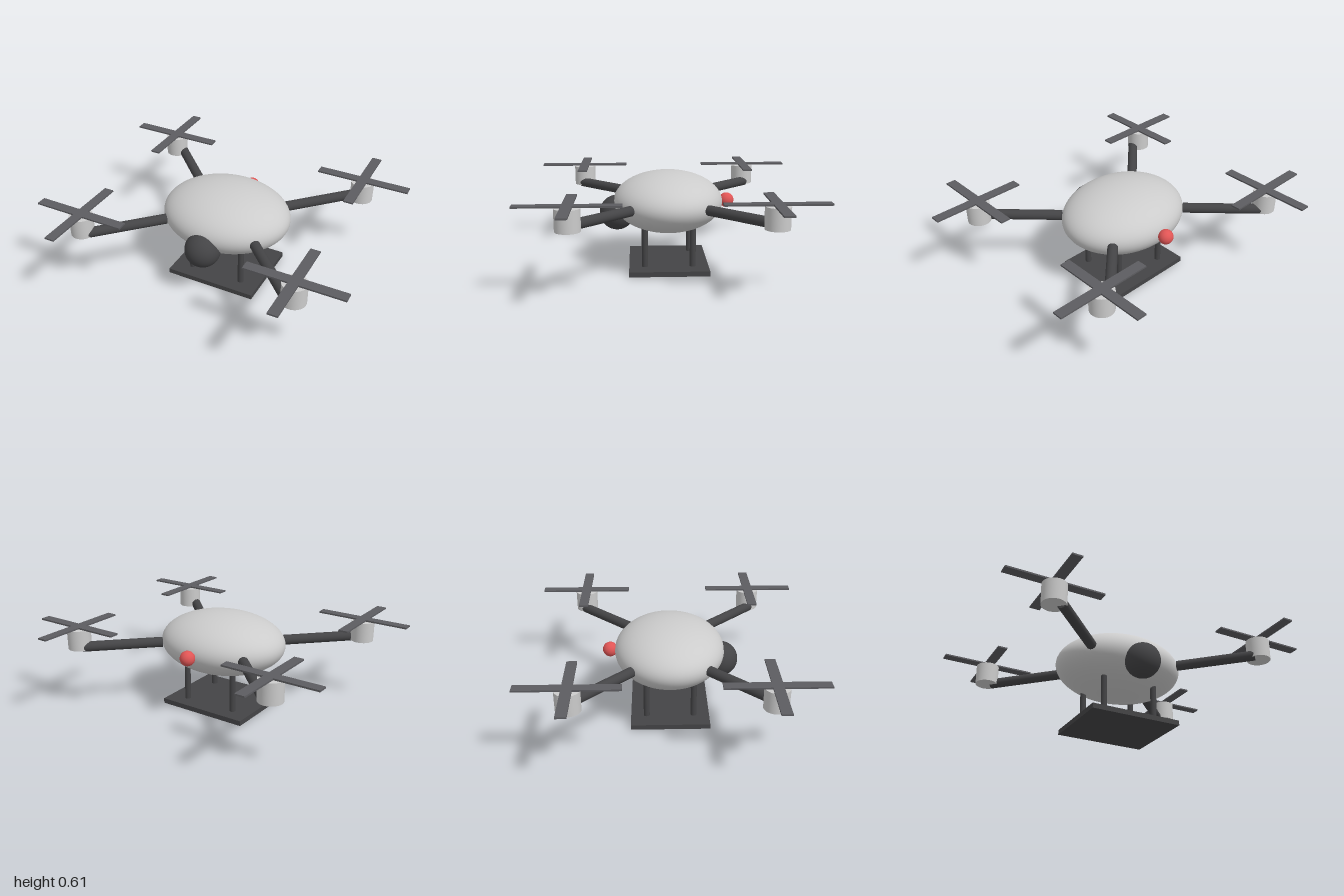
import * as THREE from 'three';

const material = (color) => new THREE.MeshStandardMaterial({ color });

export function createModel() {
  const model = new THREE.Group();
  model.name = 'quadcopter';

  const grey = material(0xcccccc);
  const dark = material(0x444446);
  const bladeGrey = material(0x5c5c60);
  const red = material(0xe05555);

  const add = (parent, name, geometry, mat, x, y, z) => {
    const mesh = new THREE.Mesh(geometry, mat);
    mesh.name = name;
    mesh.position.set(x, y, z);
    parent.add(mesh);
    return mesh;
  };

  // Ellipsoid hull
  add(model, 'body', new THREE.SphereGeometry(1, 64, 40).scale(0.415, 0.19, 0.347), grey, 0, 0.42, 0);

  // Camera ball at the front, signal light at the back
  add(model, 'camera', new THREE.SphereGeometry(0.112, 40, 28), dark, 0, 0.345, 0.325);
  add(model, 'tailLight', new THREE.SphereGeometry(0.047, 32, 20), red, 0, 0.42, -0.377);

  const armGeometry = new THREE.CylinderGeometry(0.032, 0.032, 0.5, 32).rotateZ(Math.PI / 2);
  const motorGeometry = new THREE.CylinderGeometry(0.074, 0.073, 0.13, 40);
  const bladeX = new THREE.BoxGeometry(0.6, 0.01, 0.062);
  const bladeZ = new THREE.BoxGeometry(0.062, 0.01, 0.6);
  const legGeometry = new THREE.CylinderGeometry(0.019, 0.019, 0.29, 24);

  for (const sx of [-1, 1]) {
    for (const sz of [-1, 1]) {
      // Arm, motor and crossed rotor blades
      const rotor = new THREE.Group();
      rotor.name = `${sz > 0 ? 'front' : 'back'}${sx > 0 ? 'Left' : 'Right'}Rotor`;
      model.add(rotor);
      const arm = add(rotor, 'arm', armGeometry, dark, sx * 0.484, 0.42, sz * 0.412);
      arm.rotation.y = -sx * sz * Math.PI / 4;
      add(rotor, 'motor', motorGeometry, grey, sx * 0.7, 0.467, sz * 0.575);
      add(rotor, 'bladeAcross', bladeX, bladeGrey, sx * 0.7, 0.543, sz * 0.575);
      add(rotor, 'bladeAlong', bladeZ, bladeGrey, sx * 0.7, 0.543, sz * 0.575);

      // Landing leg, ending inside the hull
      add(model, 'leg', legGeometry, dark, sx * 0.175, 0.165, sz * 0.15);
    }
  }

  // Flat landing plate
  add(model, 'landingPlate', new THREE.BoxGeometry(0.596, 0.032, 0.5), dark, 0, 0.016, 0);

  return model;
}
